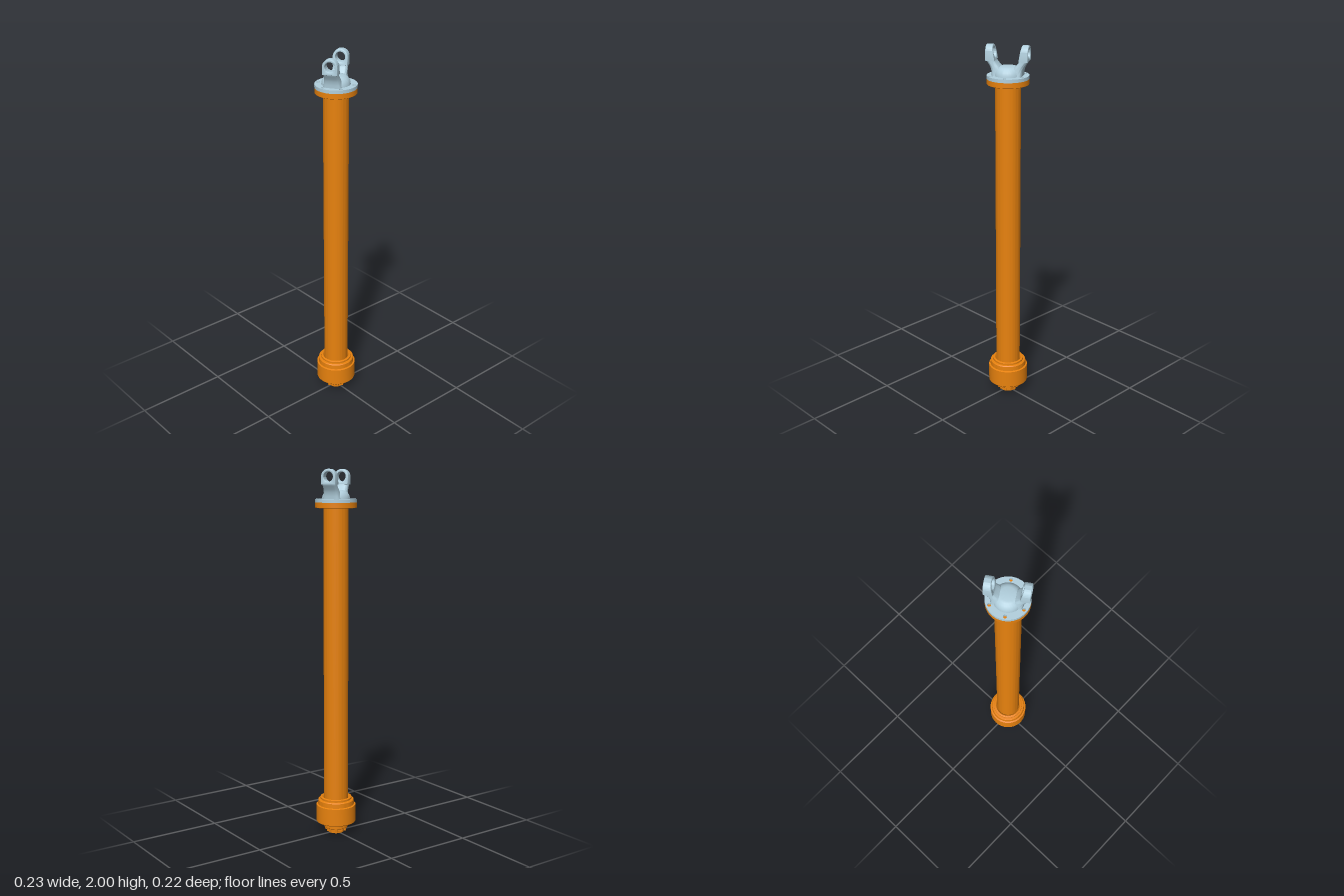
import * as THREE from 'three';
import { toCreasedNormals, mergeVertices } from 'three/addons/utils/BufferGeometryUtils.js';

const orange = new THREE.MeshStandardMaterial({ color: 0xe8820e });
const paleBlue = new THREE.MeshStandardMaterial({ color: 0xb2d0de });

function part(name, geometry, material, parent, crease = 0.6) {
  const mesh = new THREE.Mesh(toCreasedNormals(geometry, crease), material);
  mesh.name = name;
  parent.add(mesh);
  return mesh;
}

// Turned solid from [radius, y] points, listed from bottom to top.
function turned(points, segments = 64) {
  return new THREE.LatheGeometry(points.map(([r, y]) => new THREE.Vector2(r, y)), segments);
}

function circlePath(x, y, r) {
  return new THREE.Path().absarc(x, y, r, 0, Math.PI * 2, true);
}

// Flat plate lying on y with upright walls.
function plate(shape, y, height) {
  return new THREE.ExtrudeGeometry(shape, { depth: height, bevelEnabled: false, curveSegments: 32 })
    .rotateX(-Math.PI / 2).translate(0, y, 0);
}

// Skin over rounded-box sections [y, inner x, outer x, half width].
function loft(sections, n = 40) {
  const positions = [], index = [];
  const soften = (v) => Math.sign(v) * Math.pow(Math.abs(v), 0.55);
  sections.forEach(([y, x0, x1, w], i) => {
    for (let j = 0; j < n; j++) {
      const a = (j / n) * Math.PI * 2;
      positions.push((x0 + x1) / 2 + soften(Math.cos(a)) * (x1 - x0) / 2, y, soften(Math.sin(a)) * w);
      if (i < sections.length - 1) {
        const p = i * n + j, q = i * n + (j + 1) % n;
        index.push(p, p + n, q, p + n, q + n, q);
      }
    }
  });
  const geometry = new THREE.BufferGeometry();
  geometry.setAttribute('position', new THREE.Float32BufferAttribute(positions, 3));
  geometry.setIndex(index);
  return geometry;
}

// Bearing eye whose inner face leans outward toward the top.
function eyeGeometry() {
  const shape = new THREE.Shape();
  shape.moveTo(-0.037, -0.038);
  shape.lineTo(0.037, -0.038);
  shape.absarc(0, 0, 0.037, 0, Math.PI, false);
  shape.closePath();
  shape.holes.push(circlePath(0, 0, 0.029));
  const geometry = new THREE.ExtrudeGeometry(shape, {
    depth: 0.034, bevelEnabled: true, bevelSize: 0.003, bevelThickness: 0.004, bevelSegments: 3, curveSegments: 32,
  });
  geometry.rotateY(Math.PI / 2).translate(0.073, 1.96, 0);
  const p = geometry.attributes.position;
  for (let i = 0; i < p.count; i++) {
    const inward = (0.111 - p.getX(i)) / 0.042;
    p.setX(i, p.getX(i) + inward * (p.getY(i) - 1.96) * 0.18);
  }
  return geometry;
}

function createYoke() {
  const yoke = new THREE.Group();
  yoke.name = 'yoke';

  // Flange with six bolt holes
  const disc = new THREE.Shape().absarc(0, 0, 0.11, 0, Math.PI * 2, false);
  for (let k = 0; k < 6; k++) {
    const a = THREE.MathUtils.degToRad(5 + 60 * k);
    disc.holes.push(circlePath(Math.cos(a) * 0.094, Math.sin(a) * 0.094, 0.0095));
  }
  part('yokeFlange', plate(disc, 1.826, 0.018), paleBlue, yoke);

  // Fork: saddle and two arms with bearing eyes
  const fork = new THREE.Group();
  fork.name = 'fork';
  fork.rotation.y = THREE.MathUtils.degToRad(32.5);
  yoke.add(fork);
  part('saddle', turned([[0, 1.84], [0.075, 1.84], [0.074, 1.852], [0.069, 1.867], [0.06, 1.879],
    [0.048, 1.887], [0.036, 1.89], [0, 1.89]]), paleBlue, fork);
  for (const turn of [0, Math.PI]) {
    const arm = new THREE.Group();
    arm.name = 'forkArm';
    arm.rotation.y = turn;
    fork.add(arm);
    part('armNeck', mergeVertices(loft([
      [1.84, 0.01, 0.08, 0.05], [1.86, 0.018, 0.081, 0.045], [1.88, 0.03, 0.085, 0.041],
      [1.895, 0.044, 0.092, 0.039], [1.91, 0.057, 0.102, 0.038], [1.922, 0.064, 0.109, 0.038],
      [1.93, 0.066, 0.111, 0.038],
    ])), paleBlue, arm, 1);
    part('bearingEye', eyeGeometry(), paleBlue, arm);
  }
  return yoke;
}

function createCoupling() {
  const coupling = new THREE.Group();
  coupling.name = 'coupling';

  // Stepped housing, open around the tube at the top
  part('housing', turned([[0, 0.062], [0.106, 0.062], [0.109, 0.066], [0.109, 0.16], [0.1, 0.163],
    [0.099, 0.188], [0.095, 0.192], [0.086, 0.193], [0.086, 0.203], [0.083, 0.205],
    [0.075, 0.205], [0.066, 0.195]]), orange, coupling);

  // Hub below the housing
  part('hub', turned([[0, 0.028], [0.062, 0.028], [0.066, 0.032], [0.066, 0.063]]), orange, coupling);

  // Hexagonal locking plate with small bolts
  part('lockPlate', new THREE.CylinderGeometry(0.062, 0.062, 0.014, 6).translate(0, 0.022, 0), orange, coupling);
  for (let k = 0; k < 6; k++) {
    const a = (k + 0.5) * Math.PI / 3;
    const bolt = part('lockBolt', new THREE.CylinderGeometry(0.008, 0.008, 0.02, 6), orange, coupling);
    bolt.position.set(Math.sin(a) * 0.052, 0.02, Math.cos(a) * 0.052);
  }

  // Hollow end collar with a hexagonal socket
  const collar = new THREE.Shape().absarc(0, 0, 0.043, 0, Math.PI * 2, false);
  const socket = new THREE.Path();
  for (let k = 0; k < 6; k++) {
    const a = -k * Math.PI / 3;
    socket[k ? 'lineTo' : 'moveTo'](Math.cos(a) * 0.03, Math.sin(a) * 0.03);
  }
  socket.closePath();
  collar.holes.push(socket);
  part('endCollar', plate(collar, 0, 0.018), orange, coupling);
  return coupling;
}

export function createModel() {
  const model = new THREE.Group();
  model.name = 'driveShaft';

  // Long tube and its end flange
  part('tube', new THREE.CylinderGeometry(0.067, 0.067, 1.62, 64, 1, true).translate(0, 0.99, 0), orange, model);
  part('tubeFlange', turned([[0, 1.797], [0.108, 1.797], [0.11, 1.799], [0.11, 1.826], [0, 1.826]]), orange, model);

  model.add(createYoke(), createCoupling());
  return model;
}
